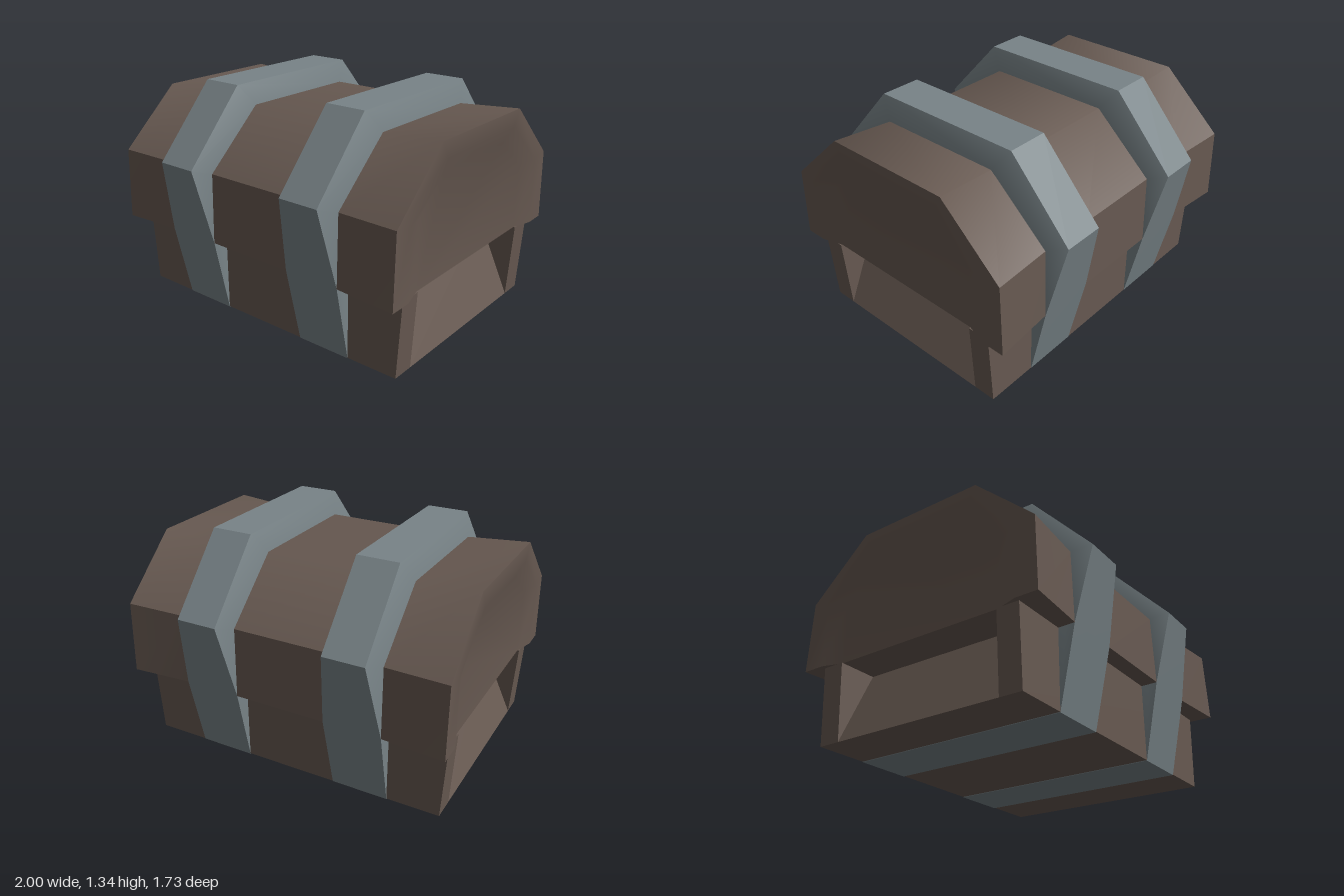
import * as THREE from 'three';
import { toCreasedNormals } from 'three/addons/utils/BufferGeometryUtils.js';

// Skin a row of equal-length rings; both ends are capped with a fan.
function loft(rings, closed = true) {
  const n = rings[0].length, last = rings.length - 1, index = [];
  for (let i = 0; i < last; i++) {
    for (let j = 0; j < (closed ? n : n - 1); j++) {
      const k = (j + 1) % n;
      const a = i * n + j, b = i * n + k, c = b + n, d = a + n;
      index.push(a, d, c, a, c, b);
    }
  }
  for (let j = 1; j < n - 1; j++) {
    index.push(0, j, j + 1, last * n, last * n + j + 1, last * n + j);
  }
  const geo = new THREE.BufferGeometry();
  geo.setAttribute('position', new THREE.Float32BufferAttribute(rings.flat(2), 3));
  geo.setIndex(index);
  return toCreasedNormals(geo, 0.78);
}

// Arch ring from a half profile of [z, y] points, mirrored front to back.
function arch(half, xAt) {
  const front = half.map(([z, y], i) => [xAt(i), y, z]);
  const back = front.map(([x, y, z]) => [x, y, -z]).reverse();
  return [...front, ...back];
}

export function createModel() {
  const wood = new THREE.MeshStandardMaterial({ name: 'darkWood', color: 0x675951 });
  const metal = new THREE.MeshStandardMaterial({ name: 'greyMetal', color: 0x788387 });
  const chest = new THREE.Group();
  chest.name = 'chest';
  const add = (name, geo, mat) => {
    const mesh = new THREE.Mesh(geo, mat);
    mesh.name = name;
    chest.add(mesh);
    return mesh;
  };

  const seam = 0.46;

  // Lid: waisted in the middle, flared at the ends, with sunken end panels
  const panel = [[0.535, seam], [0.535, 0.86], [0.31, 1.05]];
  const rim = [[0.665, seam], [0.665, 0.87], [0.355, 1.14]];
  const flare = [[0.8, seam], [0.785, 0.89], [0.405, 1.235]];
  const waist = [[0.77, seam], [0.757, 0.88], [0.39, 1.21]];
  const stations = [[panel, 0.96], [rim, 1], [flare, 1], [waist, 0.63], [waist, 0.28]];
  const rings = [
    ...stations.map(([p, x]) => arch(p, () => -x)),
    ...stations.slice().reverse().map(([p, x]) => arch(p, () => x)),
  ];
  add('lid', loft(rings, false), wood);

  // Underside of the lid, following its bottom edge
  const outline = [...rings.map((r) => r[0]), ...rings.map((r) => r[5]).reverse()];
  const under = new THREE.ShapeGeometry(
    new THREE.Shape(outline.map(([x, , z]) => new THREE.Vector2(x, z))));
  under.rotateX(Math.PI / 2).translate(0, seam, 0);
  add('lidUnderside', under, wood);

  // Base: front and back walls, with a core whose ends lean inwards
  const block = (topX, z0, z1) => loft([z0, z1].map((z) => [
    [-0.94, 0.003, z], [-topX, seam, z], [topX, seam, z], [0.94, 0.003, z],
  ]));
  add('frontWall', block(0.97, 0.535, 0.67), wood);
  add('backWall', block(0.97, -0.67, -0.535), wood);
  add('baseCore', block(0.73, -0.535, 0.535), wood);

  // Metal bands: bevelled above the seam, flush with the base at the bottom
  const inner = [[0.67, 0], [0.77, seam], [0.757, 0.88], [0.39, 1.21]];
  const outer = [[0.67, 0], [0.77, seam], [0.865, 0.915], [0.483, 1.335]];
  const innerW = [0.17, 0.175, 0.175, 0.175];
  const outerW = [0.17, 0.175, 0.125, 0.125];
  const bandGeo = loft([
    arch(inner, (i) => -innerW[i]),
    arch(outer, (i) => -outerW[i]),
    arch(outer, (i) => outerW[i]),
    arch(inner, (i) => innerW[i]),
  ]);
  for (const [name, x] of [['leftBand', 0.455], ['rightBand', -0.455]]) {
    add(name, bandGeo, metal).position.x = x;
  }

  return chest;
}
